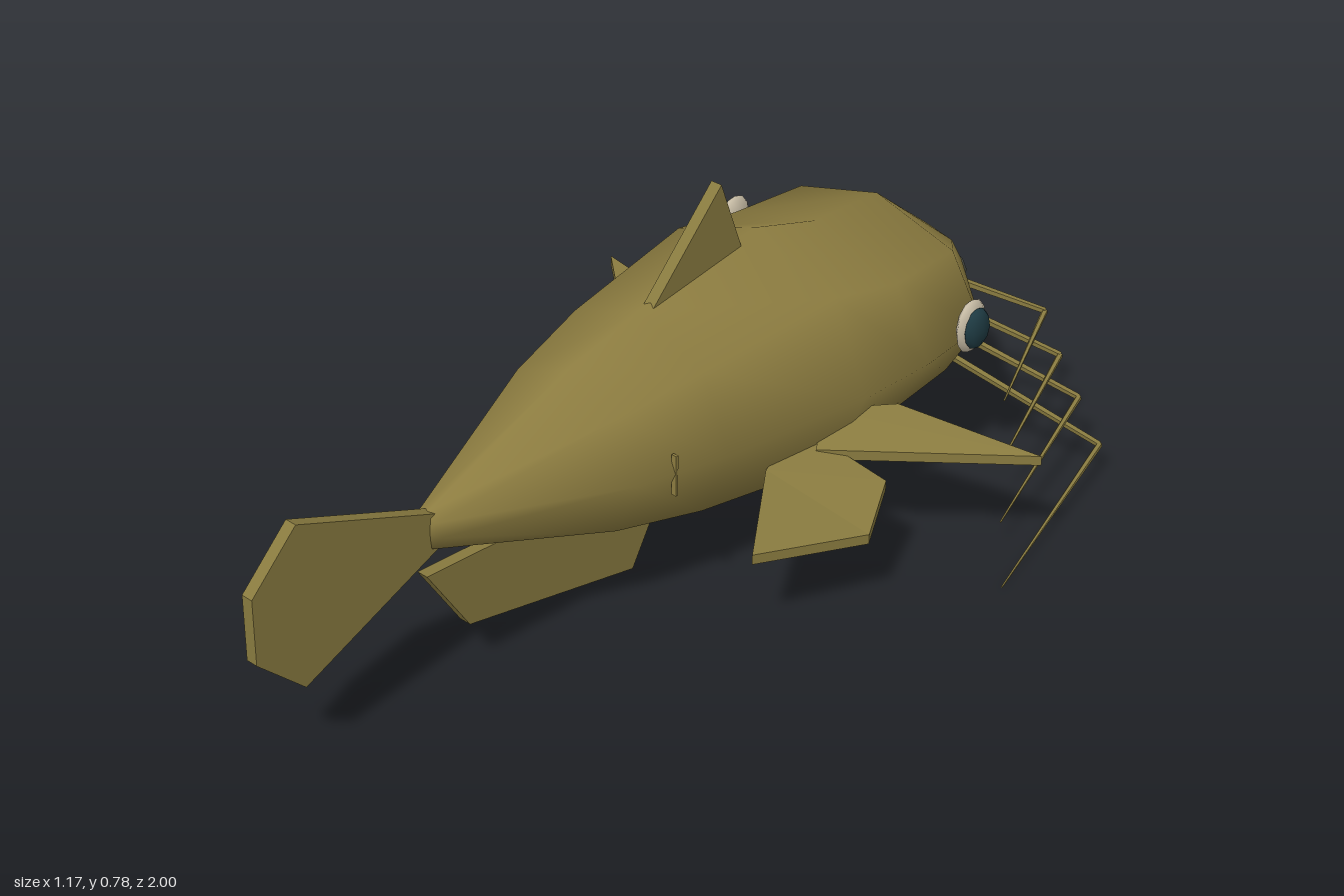
import * as THREE from 'three';

const mat = (name, color, opts = {}) => {
  const m = new THREE.MeshStandardMaterial({ color, ...opts });
  m.name = name;
  return m;
};

// Smooth octagonal body lofted through [z, bottom, top, halfWidth] sections
function bodyGeometry() {
  const sections = [
    [0.57, 0.325, 0.405, 0.035],
    [0.2, 0.19, 0.545, 0.185],
    [0.0, 0.143, 0.59, 0.24],
    [-0.34, 0.09, 0.637, 0.293],
    [-0.52, 0.155, 0.58, 0.305],
    [-0.715, 0.167, 0.567, 0.287],
    [-0.89, 0.325, 0.425, 0.095],
  ];
  const sides = 8, pos = [], idx = [];
  for (const [z, lo, hi, w] of sections) {
    for (let i = 0; i < sides; i++) {
      const a = (i / sides) * Math.PI * 2;
      pos.push(Math.cos(a) * w, (lo + hi) / 2 + Math.sin(a) * (hi - lo) / 2, z);
    }
  }
  const last = sections.length - 1;
  for (let s = 0; s < last; s++) {
    for (let i = 0; i < sides; i++) {
      const j = (i + 1) % sides;
      const a = s * sides + i, b = s * sides + j, c = a + sides, d = b + sides;
      idx.push(a, c, b, b, c, d);
    }
  }
  // end caps
  const tail = pos.length / 3, nose = tail + 1;
  pos.push(0, 0.365, 0.575, 0, 0.375, -0.9);
  for (let i = 0; i < sides; i++) {
    const j = (i + 1) % sides;
    idx.push(tail, i, j, nose, last * sides + j, last * sides + i);
  }
  const g = new THREE.BufferGeometry();
  g.setAttribute('position', new THREE.Float32BufferAttribute(pos, 3));
  g.setIndex(idx);
  g.computeVertexNormals();
  return g;
}

// Flat-sided slab: a convex outline, thickened along dir (per-point factor optional)
function slab(points, dir, thick) {
  let top = points.map(p => new THREE.Vector3(p[0], p[1], p[2]));
  let low = points.map((p, i) => top[i].clone().addScaledVector(dir, p[3] ?? thick));
  const n = new THREE.Vector3();
  top.forEach((p, i) => n.add(p.clone().cross(top[(i + 1) % top.length])));
  if (n.dot(dir) > 0) { top.reverse(); low.reverse(); }
  const pos = [];
  const tri = (...v) => v.forEach(p => pos.push(p.x, p.y, p.z));
  for (let i = 1; i < top.length - 1; i++) {
    tri(top[0], top[i], top[i + 1]);
    tri(low[0], low[i + 1], low[i]);
  }
  for (let i = 0; i < top.length; i++) {
    const j = (i + 1) % top.length;
    tri(top[i], low[i], top[j]);
    tri(top[j], low[i], low[j]);
  }
  const g = new THREE.BufferGeometry();
  g.setAttribute('position', new THREE.Float32BufferAttribute(pos, 3));
  g.computeVertexNormals();
  return g;
}

// Tapered rod between two points
function rod(a, b, ra, rb) {
  const dir = b.clone().sub(a);
  const g = new THREE.CylinderGeometry(rb, ra, dir.length(), 5);
  g.applyQuaternion(new THREE.Quaternion().setFromUnitVectors(
    new THREE.Vector3(0, 1, 0), dir.clone().normalize()));
  const mid = a.clone().add(b).multiplyScalar(0.5);
  return g.translate(mid.x, mid.y, mid.z);
}

// Low-poly ellipsoid with its poles along y
const ellipsoid = (rx, ry, rz) => new THREE.SphereGeometry(1, 8, 6).scale(rx, ry, rz);

export function createModel() {
  const model = new THREE.Group();
  model.name = 'fish';
  const skin = mat('olive skin', 0x8c7c40);
  const finSkin = mat('olive fin', 0x887a3f, { flatShading: true });
  const eyeWhite = mat('eye white', 0xc8bda6);
  const eyeDark = mat('eye dark', 0x1e3a42);
  const mouthGrey = mat('mouth grey', 0x454840);

  const add = (name, geometry, material, parent = model) => {
    const m = new THREE.Mesh(geometry, material);
    m.name = name;
    parent.add(m);
    return m;
  };

  add('body', bodyGeometry(), skin);

  // Upright fins on the centre line, outlines as [z, y]
  const upright = {
    tailFin: [[0.55, 0.4], [0.89, 0.543], [1, 0.437], [1, 0.295], [0.89, 0.188], [0.55, 0.325]],
    dorsalFin: [[-0.01, 0.57], [-0.22, 0.783], [-0.29, 0.6]],
    analFin: [[0.585, 0.275], [0.48, 0.112], [0.03, 0.012], [-0.08, 0.2], [0.3, 0.255]],
  };
  const across = new THREE.Vector3(-1, 0, 0);
  for (const [name, outline] of Object.entries(upright)) {
    add(name, slab(outline.map(([z, y]) => [0.013, y, z]), across, 0.026), finSkin);
  }

  // Mouth
  add('mouth', ellipsoid(0.1, 0.045, 0.018), mouthGrey).position.set(0, 0.345, -0.905);

  // Paired parts, built on both sides
  const pectoral = [
    [0.3, 0.312, -0.435, 0.065], [0.585, 0.266, -0.535, 0.021],
    [0.25, 0.27, -0.245, 0.022], [0.2, 0.31, -0.32, 0.06],
  ];
  const pelvic = [
    [0.2, 0.285, -0.27], [0.385, 0.232, -0.3], [0.44, 0.187, -0.185],
    [0.345, 0.212, 0.05], [0.22, 0.265, -0.13],
  ];
  const whiskers = [ // root, elbow, tip
    [[0.15, 0.235, -0.76], [0.47, 0.07, -0.905], [0.583, 0.003, -0.435]],
    [[0.13, 0.27, -0.795], [0.39, 0.14, -0.932], [0.49, 0.062, -0.545]],
    [[0.11, 0.305, -0.825], [0.315, 0.2, -0.96], [0.405, 0.12, -0.655]],
    [[0.08, 0.345, -0.855], [0.245, 0.265, -0.993], [0.318, 0.175, -0.768]],
  ];
  const down = new THREE.Vector3(0, -1, 0);
  for (const [side, s] of [['left', 1], ['right', -1]]) {
    const flip = pts => pts.map(([x, ...rest]) => [x * s, ...rest]);
    add(side + 'PectoralFin', slab(flip(pectoral), down, 0.02), finSkin);
    add(side + 'PelvicFin', slab(flip(pelvic), down, 0.022), finSkin);

    // Eye: pale rim with a dark outer lens
    const eye = new THREE.Group();
    eye.name = side + 'Eye';
    eye.position.set(0.318 * s, 0.412, -0.637);
    model.add(eye);
    add('eyeRim', ellipsoid(0.018, 0.06, 0.046), eyeWhite, eye);
    add('eyeLens', ellipsoid(0.019, 0.045, 0.037), eyeDark, eye).position.x = 0.014 * s;

    // Small ridge on the flank
    add(side + 'FlankRidge', new THREE.BoxGeometry(0.012, 0.09, 0.006), skin)
      .position.set(0.203 * s, 0.362, 0.115);

    // Whiskers bent at the elbow, tapering to the tip
    whiskers.forEach((w, i) => {
      const [root, elbow, tip] = flip(w).map(p => new THREE.Vector3(...p));
      const whisker = new THREE.Group();
      whisker.name = side + 'Whisker' + (i + 1);
      model.add(whisker);
      add('whiskerBase', rod(root, elbow, 0.009, 0.007), finSkin, whisker);
      add('whiskerTip', rod(elbow, tip, 0.007, 0.002), finSkin, whisker);
    });
  }
  return model;
}
